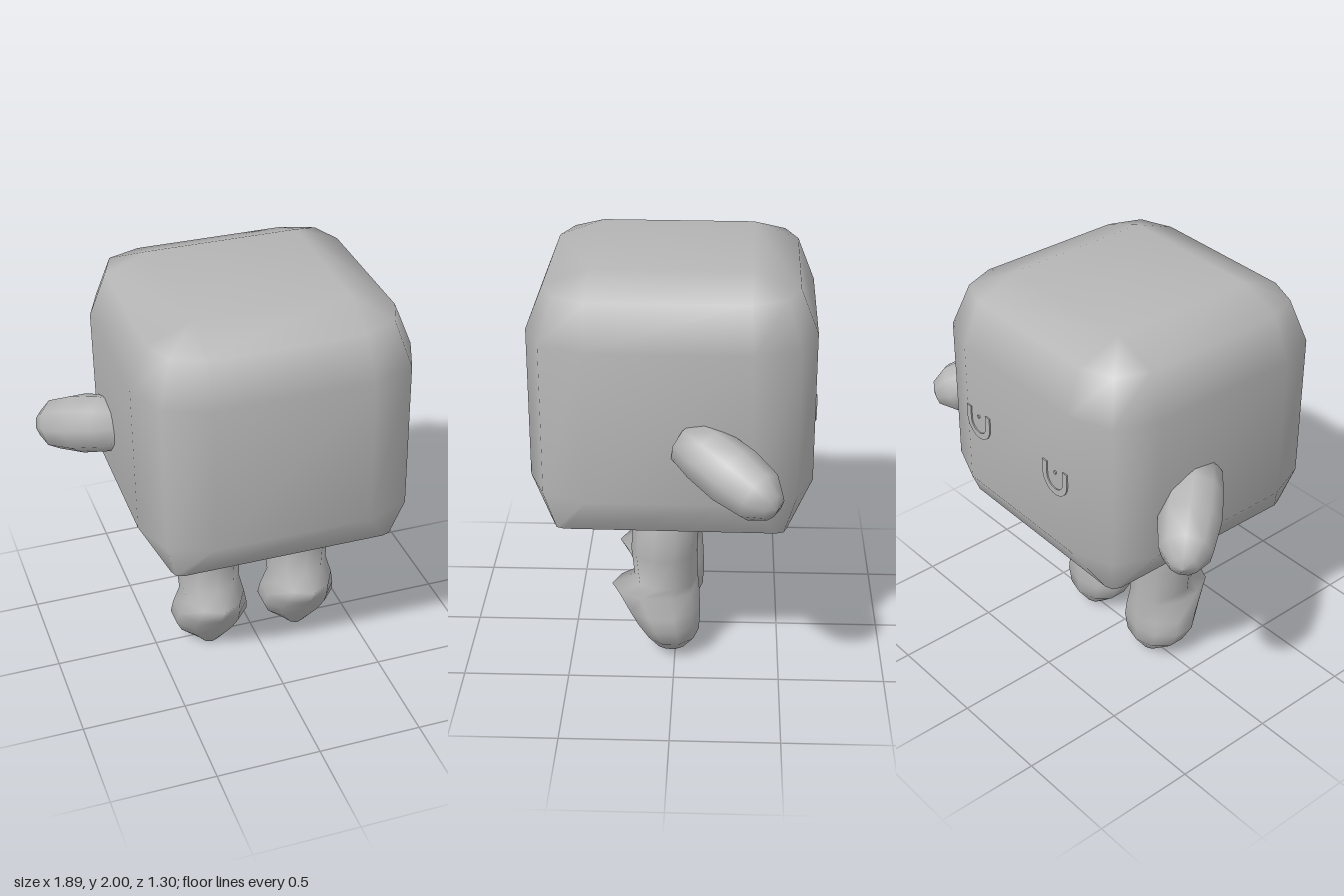
import * as THREE from 'three';
import { mergeVertices } from 'three/addons/utils/BufferGeometryUtils.js';

const grey = new THREE.MeshStandardMaterial({ color: 0xb6b6b6 });
grey.name = 'plain grey';

function part(name, geometry, parent) {
  const mesh = new THREE.Mesh(geometry, grey);
  mesh.name = name;
  parent.add(mesh);
  return mesh;
}

// Smooth skin over rings of points, listed from bottom to top
function loft(rings, closeBottom) {
  const n = rings[0].length, pos = [], index = [];
  rings.forEach(r => r.forEach(p => pos.push(...p)));
  for (let k = 0; k < rings.length - 1; k++) {
    for (let i = 0; i < n; i++) {
      const j = (i + 1) % n, a = k * n + i, b = k * n + j;
      index.push(a, a + n, b, b, a + n, b + n);
    }
  }
  const cap = (k, top) => {
    const c = pos.length / 3;
    pos.push(...[0, 1, 2].map(d => rings[k].reduce((s, p) => s + p[d], 0) / n));
    for (let i = 0; i < n; i++) {
      const a = k * n + i, b = k * n + (i + 1) % n;
      index.push(c, top ? b : a, top ? a : b);
    }
  };
  cap(rings.length - 1, true);
  if (closeBottom) cap(0, false);
  let g = new THREE.BufferGeometry();
  g.setAttribute('position', new THREE.Float32BufferAttribute(pos, 3));
  g.setIndex(index);
  g = mergeVertices(g);
  g.computeVertexNormals();
  return g;
}

// Square ring with two-step corners: half width h, corner size r
function squareRing([y, h, r]) {
  const c = h - r * 0.28, s = h - r, ring = [];
  for (let q = 0; q < 4; q++) {
    for (const [x, z] of [[h, s], [c, c], [s, h]]) {
      const t = [[x, z], [-z, x], [-x, -z], [z, -x]][q];
      ring.push([t[0], y, t[1]]);
    }
  }
  return ring;
}

// Oval ring: half width w, depth from back to front
function ovalRing([y, w, back, front]) {
  const ring = [];
  for (let i = 0; i < 10; i++) {
    const a = (i / 10) * Math.PI * 2 + Math.PI / 10;
    ring.push([Math.cos(a) * w * 1.04, y, (front + back) / 2 + Math.sin(a) * (front - back) / 2]);
  }
  return ring;
}

function buildBody() {
  const body = new THREE.Group();
  body.name = 'body';
  const rings = [
    [-0.595, 0.53, 0.05], [-0.4, 0.645, 0.28], [0.31, 0.645, 0.28],
    [0.513, 0.565, 0.21], [0.592, 0.355, 0],
  ].map(squareRing);
  part('bodyShell', loft(rings, false), body);

  // Flat underside with a crisp rim
  const outline = rings[0].map(p => new THREE.Vector2(p[0], p[2]));
  const under = new THREE.ShapeGeometry(new THREE.Shape(outline));
  under.rotateX(Math.PI / 2);
  part('underside', under, body).position.y = -0.595;

  // Thin U-shaped closed eyes on the back face
  const u = new THREE.Shape();
  u.moveTo(-0.085, 0.06);
  u.lineTo(-0.085, 0);
  u.absarc(0, 0, 0.085, Math.PI, Math.PI * 2, false);
  u.lineTo(0.085, 0.06);
  u.lineTo(0.055, 0.06);
  u.lineTo(0.055, 0);
  u.absarc(0, 0, 0.055, 0, Math.PI, true);
  u.lineTo(-0.055, 0.06);
  const eyeGeo = new THREE.ExtrudeGeometry(u, { depth: 0.008, bevelEnabled: false, curveSegments: 10 });
  eyeGeo.rotateY(Math.PI);
  const dotGeo = new THREE.CylinderGeometry(0.008, 0.008, 0.008, 8).rotateX(Math.PI / 2);
  for (const s of [-1, 1]) {
    part(s > 0 ? 'leftEye' : 'rightEye', eyeGeo, body).position.set(s * 0.28, -0.05, -0.643);
    part(s > 0 ? 'leftEyeDot' : 'rightEyeDot', dotGeo, body).position.set(s * 0.28, -0.02, -0.647);
  }

  body.position.set(-0.012, 1.405, 0.008);
  body.rotation.set(0, -0.012, 0.01);
  return body;
}

export function createModel() {
  const model = new THREE.Group();
  model.name = 'blockCreature';
  model.add(buildBody());

  // Legs: a column swelling into a foot with a raised toe
  const legGeo = loft([
    [0.01, 0.05, -0.05, 0.09], [0.1, 0.15, -0.115, 0.15], [0.18, 0.185, -0.12, 0.2],
    [0.25, 0.175, -0.12, 0.245], [0.35, 0.148, -0.115, 0.305], [0.4, 0.145, -0.11, 0.195],
    [0.55, 0.148, -0.105, 0.21], [0.86, 0.155, -0.12, 0.185],
  ].map(ovalRing), true);

  // Arms: rounded stubs reaching outward, down and back
  const armProfile = [[0, 0], [0.115, 0], [0.135, 0.12], [0.142, 0.28], [0.122, 0.43], [0.065, 0.51], [0, 0.53]]
    .map(p => new THREE.Vector2(...p));
  const armGeo = new THREE.LatheGeometry(armProfile, 9);

  for (const s of [-1, 1]) {
    const side = s > 0 ? 'left' : 'right';
    part(side + 'Leg', legGeo, model).position.set(s > 0 ? 0.225 : -0.23, s > 0 ? 0.008 : -0.005, s > 0 ? 0 : -0.01);
    const arm = part(side + 'Arm', armGeo, model);
    arm.position.set(s * 0.575, s > 0 ? 1.295 : 1.28, -0.075);
    arm.quaternion.setFromUnitVectors(
      new THREE.Vector3(0, 1, 0),
      new THREE.Vector3(s * 0.33, -0.16, -0.38).normalize());
  }
  return model;
}
